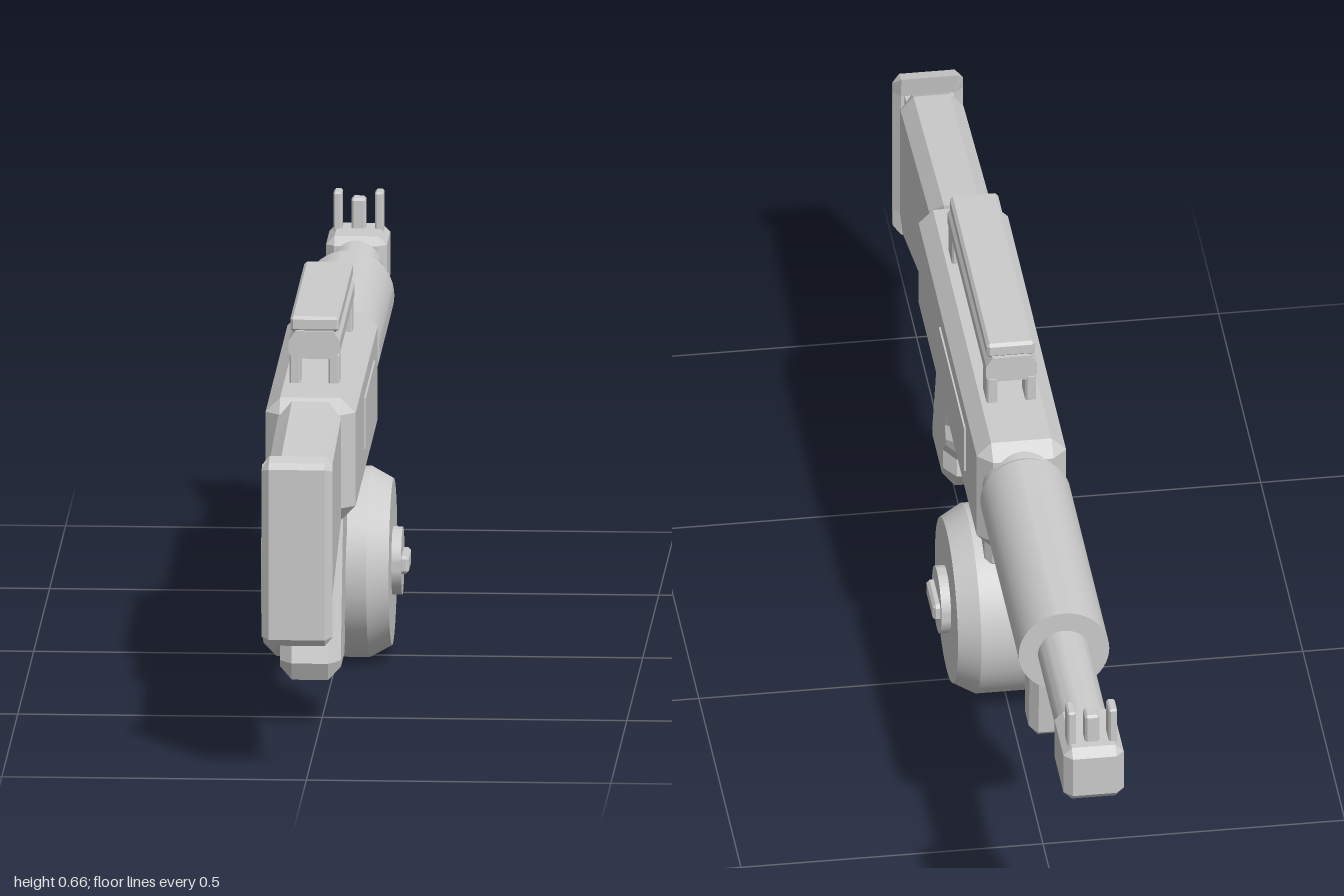
import * as THREE from 'three';
import { toCreasedNormals } from 'three/addons/utils/BufferGeometryUtils.js';
import { ConvexGeometry } from 'three/addons/geometries/ConvexGeometry.js';

const CX = -0.016; // centre plane of the body

// Box with every edge cut by c
function chamferBox(w, h, d, c) {
  const pts = [];
  for (const i of [-1, 1]) for (const j of [-1, 1]) for (const k of [-1, 1]) {
    const x = i * w / 2, y = j * h / 2, z = k * d / 2;
    pts.push(
      new THREE.Vector3(x, y - j * c, z - k * c),
      new THREE.Vector3(x - i * c, y, z - k * c),
      new THREE.Vector3(x - i * c, y - j * c, z));
  }
  return new ConvexGeometry(pts);
}

// Side profile of [z, y] points, given width across x with bevelled sides
function sidePlate(points, width, bevel) {
  const shape = new THREE.Shape(points.map(p => new THREE.Vector2(p[0], p[1])));
  const geo = new THREE.ExtrudeGeometry(shape, {
    depth: width - 2 * bevel, bevelEnabled: bevel > 0, bevelThickness: bevel,
    bevelSize: bevel, bevelOffset: -bevel, bevelSegments: 1, curveSegments: 1,
  });
  geo.translate(0, 0, -(width / 2 - bevel));
  return geo.rotateY(-Math.PI / 2);
}

// Turned part from [radius, position] points, along x or z
function turned(points, axis, segments = 48) {
  const profile = points.map(p => new THREE.Vector2(p[0], p[1]));
  const geo = toCreasedNormals(new THREE.LatheGeometry(profile, segments), 0.4);
  return axis === 'x' ? geo.rotateZ(-Math.PI / 2) : geo.rotateX(Math.PI / 2);
}

export function createModel() {
  const group = new THREE.Group();
  const grey = new THREE.MeshStandardMaterial({ color: 0xcccccc });
  grey.name = 'plainGrey';

  function add(name, geo, x = CX, y = 0, z = 0) {
    const mesh = new THREE.Mesh(geo, grey);
    mesh.name = name;
    mesh.position.set(x, y, z);
    group.add(mesh);
    return mesh;
  }

  // Main body and side cover
  add('receiver', chamferBox(0.148, 0.204, 0.738, 0.024), CX, 0.447, 0.216);
  add('sideCover', new THREE.BoxGeometry(0.006, 0.085, 0.3), 0.058, 0.452, 0.15);

  // Shoulder stock and pad
  add('stock', sidePlate([
    [0.575, 0.337], [0.916, 0.246], [0.959, 0.279], [0.959, 0.509], [0.937, 0.52], [0.575, 0.546],
  ], 0.104, 0.022));
  add('stockPad', sidePlate([
    [0.965, 0.23], [0.992, 0.224], [1, 0.235], [1, 0.52], [0.992, 0.53], [0.965, 0.536],
    [0.97, 0.5], [0.97, 0.27],
  ], 0.116, 0.012));
  add('stockPadCore', new THREE.BoxGeometry(0.08, 0.22, 0.03), CX, 0.39, 0.965);

  // Forearm, barrel and muzzle
  add('collar', turned([[0, -0.18], [0.06, -0.18], [0.066, -0.165], [0.066, -0.14], [0, -0.14]], 'z'), CX, 0.47);
  add('forearm', turned([
    [0, -0.635], [0.075, -0.635], [0.075, -0.178], [0.068, -0.165], [0, -0.165],
  ], 'z'), CX, 0.47);
  add('barrel', turned([[0, -0.88], [0.043, -0.88], [0.043, -0.63], [0, -0.63]], 'z'), CX, 0.468);
  add('muzzleBlock', chamferBox(0.1, 0.1, 0.134, 0.014), CX, 0.467, -0.933);

  // Front sight: a middle post between two ears
  add('sightPost', chamferBox(0.024, 0.07, 0.03, 0.004), CX, 0.532, -0.957);
  for (const s of [-1, 1])
    add('sightEar', chamferBox(0.014, 0.08, 0.036, 0.003), CX + s * 0.034, 0.538, -0.957);

  // Carrying handle on paired posts
  for (const z of [0.422, 0.01])
    for (const s of [-1, 1])
      add('handlePost', chamferBox(0.018, 0.06, 0.045, 0.003), CX + s * 0.032, 0.568, z);
  const rail = new THREE.Shape([
    [-0.032, 0.59], [0.032, 0.59], [0.042, 0.6], [0.042, 0.62], [0.031, 0.636], [-0.031, 0.636],
    [-0.042, 0.62], [-0.042, 0.6],
  ].map(p => new THREE.Vector2(p[0], p[1])));
  add('handleRail', new THREE.ExtrudeGeometry(rail, { depth: 0.457, bevelEnabled: false }), CX, 0, -0.012);
  add('handleTop', chamferBox(0.08, 0.026, 0.446, 0.005), CX, 0.646, 0.216);

  // Pistol grip with finger grooves
  add('pistolGrip', sidePlate([
    [0.51, 0.36], [0.592, 0.11], [0.578, 0.08], [0.445, 0.08], [0.418, 0.115], [0.424, 0.145],
    [0.392, 0.175], [0.388, 0.2], [0.4, 0.22], [0.392, 0.245], [0.348, 0.285], [0.348, 0.36],
  ].reverse(), 0.1, 0.02));

  // Trigger and guard
  const guard = [
    [0.385, 0.262], [0.36, 0.225], [0.28, 0.21], [0.2, 0.222], [0.16, 0.262], [0.153, 0.35],
    [0.173, 0.35], [0.178, 0.27], [0.209, 0.24], [0.28, 0.23], [0.35, 0.243], [0.375, 0.275],
  ];
  add('triggerGuard', sidePlate(guard, 0.044, 0.004));
  add('trigger', sidePlate([
    [0.278, 0.355], [0.266, 0.31], [0.27, 0.275], [0.256, 0.275], [0.236, 0.3], [0.24, 0.355],
  ].reverse(), 0.024, 0.004));

  // Drum with hub and winding key
  add('drumNeck', chamferBox(0.11, 0.1, 0.19, 0.012), CX, 0.325, 0);
  add('drum', turned([
    [0, -0.105], [0.137, -0.105], [0.157, -0.084], [0.157, 0.069], [0.137, 0.09 + 0.015], [0, 0.105],
  ], 'x', 64), -0.015, 0.158, 0);
  add('drumHub', turned([[0, 0], [0.056, 0], [0.056, 0.03], [0, 0.03]], 'x'), 0.076, 0.16, 0);
  add('drumKey', chamferBox(0.03, 0.03, 0.084, 0.005), 0.103, 0.16, 0);

  // Foregrip and its mounting plate
  add('foregripPlate', chamferBox(0.085, 0.022, 0.145, 0.006), CX, 0.4, -0.447);
  add('foregrip', sidePlate([
    [-0.4, 0.405], [-0.5, 0.405], [-0.48, 0.208], [-0.472, 0.2], [-0.42, 0.2], [-0.412, 0.208],
  ], 0.07, 0.014));
  return group;
}
